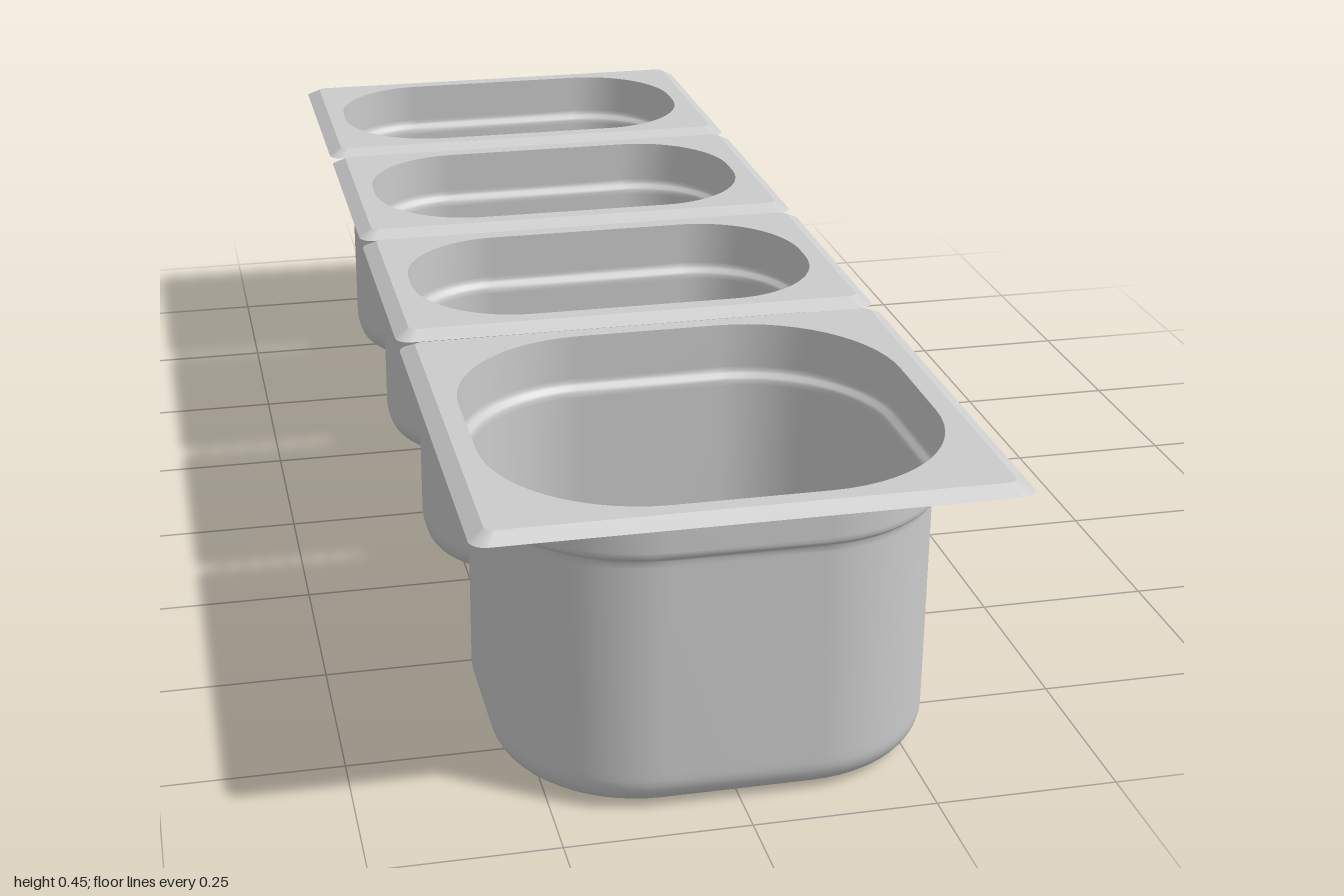
import * as THREE from 'three';

const ARC = 14; // segments per rounded corner

// Rounded rectangle loop at height y, running from +x towards +z
function loop(hx, hz, r, y) {
  const pts = [];
  for (let q = 0; q < 4; q++) {
    const sx = q === 0 || q === 3 ? 1 : -1;
    const sz = q < 2 ? 1 : -1;
    for (let i = 0; i <= ARC; i++) {
      const a = (q + i / ARC) * Math.PI / 2;
      pts.push([sx * (hx - r) + r * Math.cos(a), y, sz * (hz - r) + r * Math.sin(a)]);
    }
  }
  return pts;
}

// Skin a list of loops; optionally close the last one with a flat fan
function loft(loops, capped = false) {
  const n = loops[0].length;
  const pos = loops.flat(2);
  const index = [];
  for (let j = 0; j < loops.length - 1; j++) {
    for (let i = 0; i < n; i++) {
      const k = (i + 1) % n;
      const a = j * n + i, b = j * n + k, c = a + n, d = b + n;
      index.push(a, b, c, b, d, c);
    }
  }
  if (capped) {
    const base = (loops.length - 1) * n;
    pos.push(0, loops[loops.length - 1][0][1], 0);
    for (let i = 0; i < n; i++) index.push(base + i, base + (i + 1) % n, base + n);
  }
  const g = new THREE.BufferGeometry();
  g.setAttribute('position', new THREE.Float32BufferAttribute(pos, 3));
  g.setIndex(index);
  g.computeVertexNormals();
  return g;
}

const steel = new THREE.MeshStandardMaterial({ color: 0xcccccc, side: THREE.DoubleSide });

function part(name, geometry) {
  const mesh = new THREE.Mesh(geometry, steel);
  mesh.name = name;
  return mesh;
}

// One pan: rim half depth, wall half depth (below the step) and wall corner radius
function makePan(name, rimZ, wallZ, radius) {
  const top = 0.448, rimLow = 0.436, wallX = 0.3, fillet = 0.045, lip = 0.012, rimX = 0.361;
  const wall = (d, y) => loop(wallX + d, wallZ + d, radius + d, y);
  const pan = new THREE.Group();
  pan.name = name;

  // Flat rim and its sloping edge
  const flatEdge = loop(rimX - 0.021, rimZ - 0.021, 0.012, top);
  pan.add(part('rim', loft([wall(lip, top), flatEdge])));
  pan.add(part('rimEdge', loft([flatEdge, loop(rimX, rimZ, 0.022, rimLow)])));

  // Wide collar, soft step and straight lower wall
  pan.add(part('collar', loft([wall(lip, top), wall(lip, 0.382), wall(lip, 0.376),
    wall(lip - 0.003, 0.372), wall(0.003, 0.368), wall(0, 0.364), wall(0, 0.356)])));

  // Lower wall rolling into the floor
  const lower = [wall(0, 0.356), wall(0, fillet + 0.01)];
  for (let i = 0; i <= 8; i++) {
    const a = i / 8 * Math.PI / 2;
    lower.push(wall(-fillet * (1 - Math.cos(a)), fillet * (1 - Math.sin(a))));
  }
  lower.push(wall(-fillet - 0.01, 0));
  pan.add(part('wallAndFloor', loft(lower, true)));
  return pan;
}

export function createModel() {
  const model = new THREE.Group();
  model.name = 'foodPans';

  // Three narrow pans behind one deeper pan
  for (let i = 0; i < 3; i++) {
    const pan = makePan('smallPan' + (i + 1), 0.2185, 0.16, 0.145);
    pan.position.z = -0.7815 + i * 0.4467;
    model.add(pan);
  }
  const large = makePan('largePan', 0.33, 0.273, 0.198);
  large.position.z = 0.67;
  model.add(large);
  return model;
}
